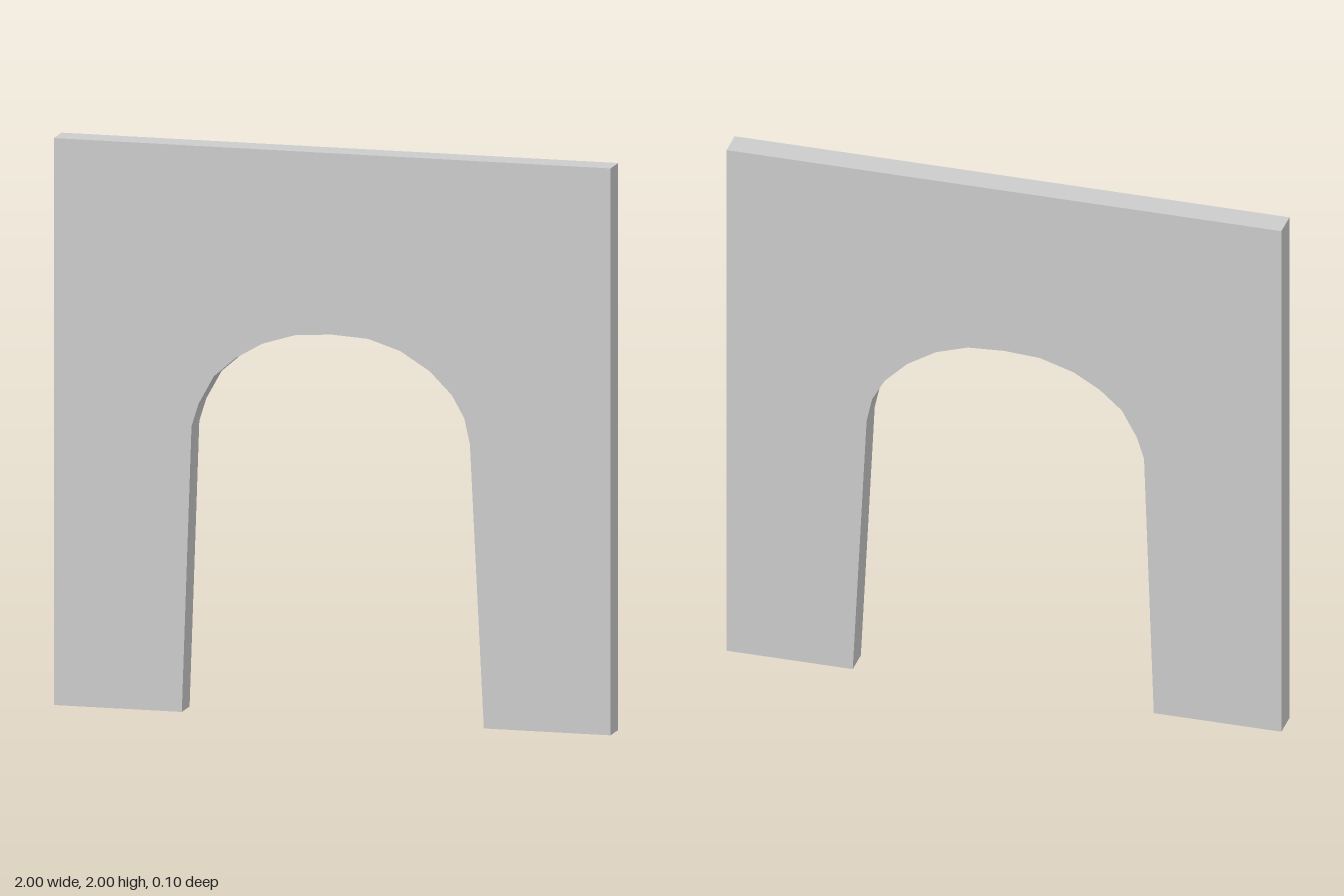
import * as THREE from 'three';
import { toCreasedNormals } from 'three/addons/utils/BufferGeometryUtils.js';

export function createModel() {
  const group = new THREE.Group();
  group.name = 'archwayWall';
  const depth = 0.1;

  // Opening outline, from the right foot over the crown to the left foot
  const opening = [
    [-0.54, 0], [-0.505, 1.01], [-0.48, 1.09], [-0.425, 1.19], [-0.345, 1.26],
    [-0.25, 1.315], [-0.13, 1.352], [0, 1.36], [0.13, 1.352], [0.245, 1.315],
    [0.35, 1.25], [0.43, 1.17], [0.475, 1.09], [0.495, 1.0], [0.545, 0],
  ];

  // Square wall outline with the doorway cut up from the ground
  const outline = [[-1, 0], ...opening, [1, 0], [1, 2], [-1, 2]];
  const shape = new THREE.Shape(outline.map(([x, y]) => new THREE.Vector2(x, y)));
  const slab = new THREE.ExtrudeGeometry(shape, { depth, bevelEnabled: false });
  slab.translate(0, 0, -depth / 2);

  // Smooth arch underside, sharp wall edges
  const wall = new THREE.Mesh(
    toCreasedNormals(slab, 0.6),
    new THREE.MeshStandardMaterial({ color: 0xcccccc })
  );
  wall.name = 'wall';
  group.add(wall);
  return group;
}
